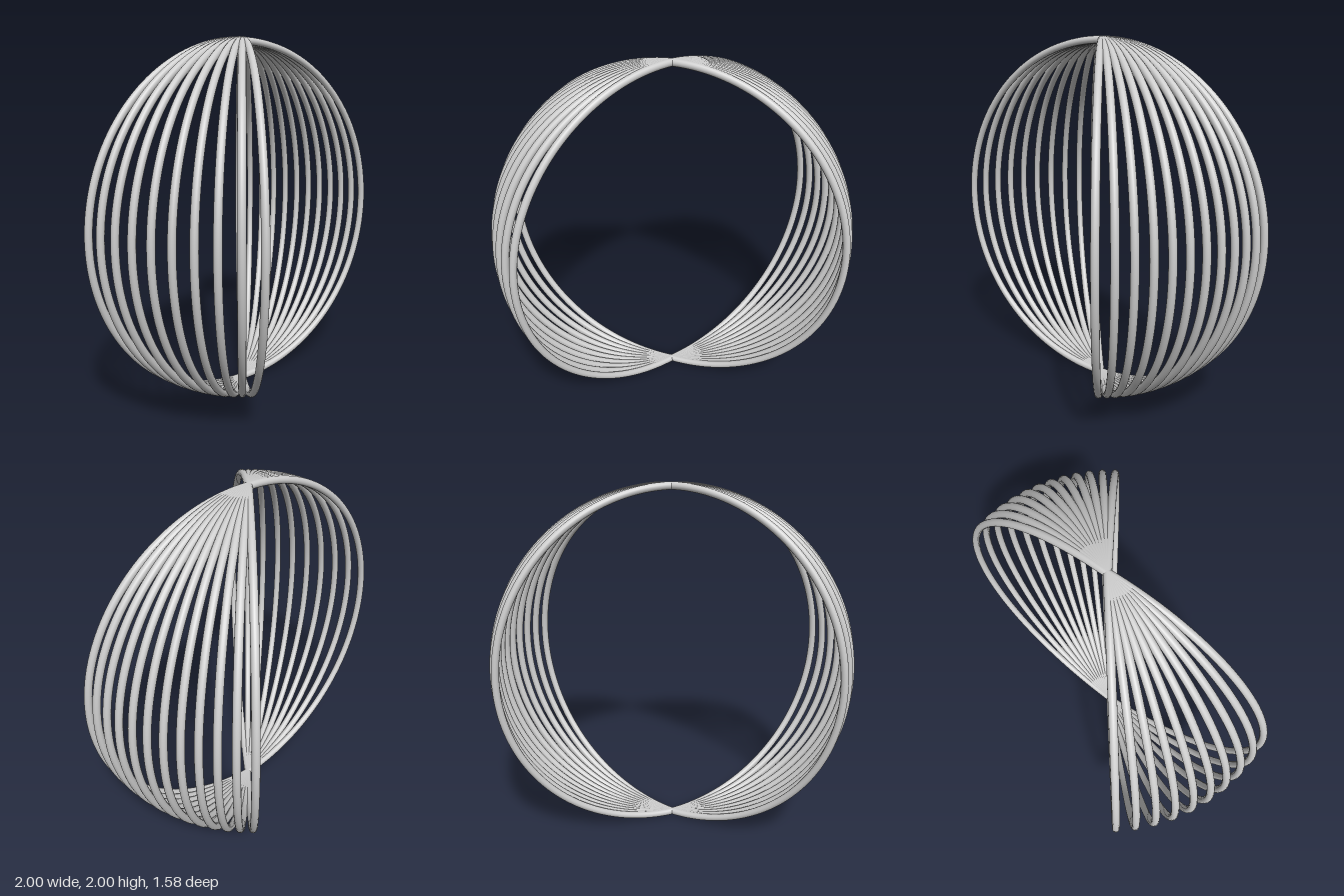
import * as THREE from 'three';

const RING = 0.98, TUBE = 0.02;

export function createModel() {
  const model = new THREE.Group();
  model.name = 'fannedHoops';
  const material = new THREE.MeshStandardMaterial({ color: 0xcccccc, side: THREE.DoubleSide });

  // Half hoop bulging toward +x, its ends meeting on the vertical axis
  const halfHoop = new THREE.TorusGeometry(RING, TUBE, 16, 80, Math.PI);
  halfHoop.rotateZ(-Math.PI / 2);

  // A fan of half hoops turned about the vertical axis in equal steps
  function addFan(name, count, startDeg, stepDeg) {
    const fan = new THREE.Group();
    fan.name = name;
    for (let i = 0; i < count; i++) {
      const hoop = new THREE.Mesh(halfHoop, material);
      hoop.name = `${name}Hoop${i + 1}`;
      hoop.rotation.y = THREE.MathUtils.degToRad(startDeg + i * stepDeg);
      fan.add(hoop);
    }
    fan.position.set(0, RING + TUBE, -0.021);
    model.add(fan);
  }

  addFan('leftFan', 12, -5, 5);
  addFan('rightFan', 10, 180, 6);
  return model;
}
